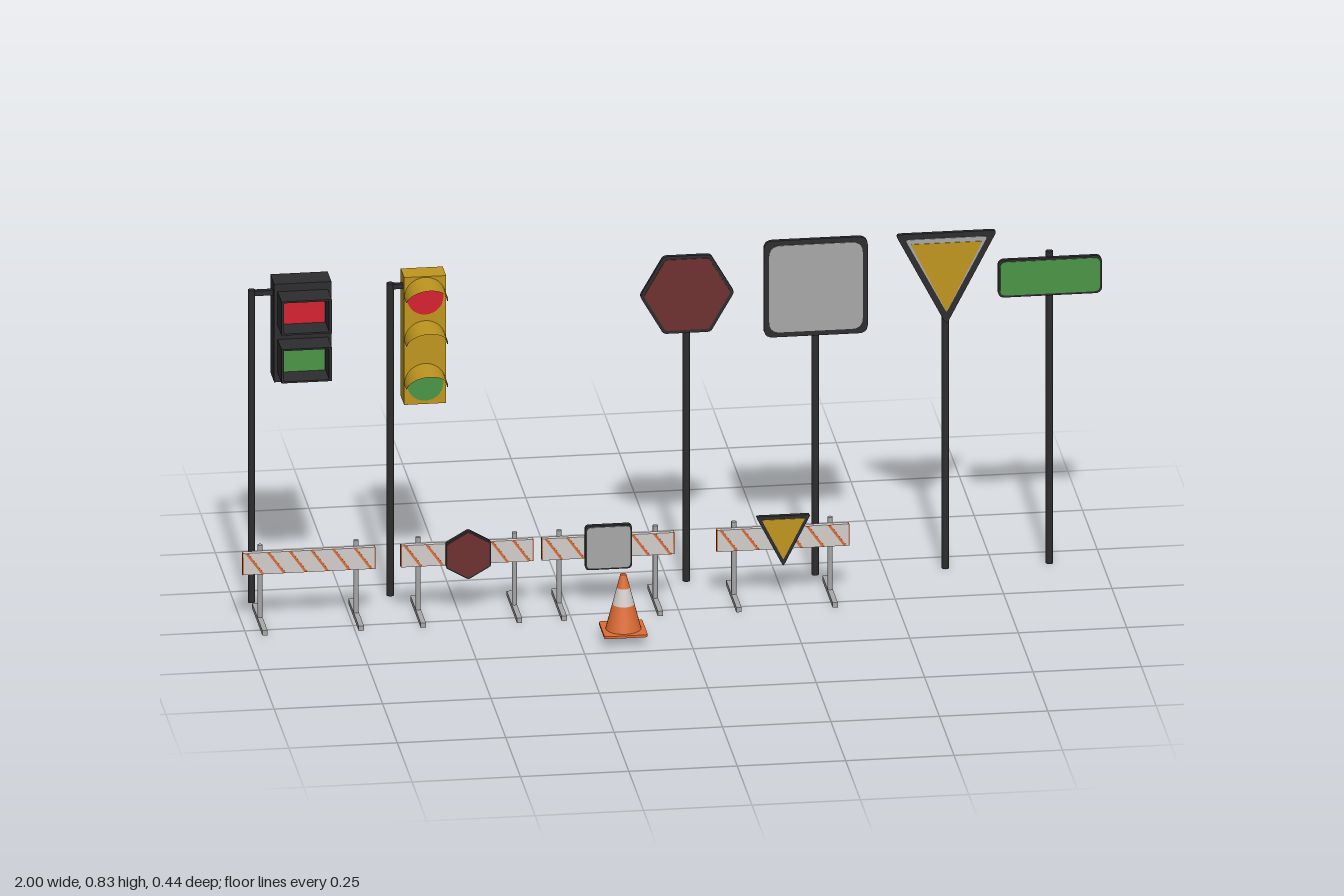
import * as THREE from 'three';

const mat = (name, color, side = THREE.FrontSide) => {
  const m = new THREE.MeshStandardMaterial({ color, side });
  m.name = name;
  return m;
};
const black = mat('black', 0x2d2d2f);
const grey = mat('grey', 0xa8a8a8);
const white = mat('white', 0xd2cdcb);
const orange = mat('orange', 0xdd6c35, THREE.DoubleSide);
const yellow = mat('yellow', 0xbf961f, THREE.DoubleSide);
const red = mat('red', 0xd4212f);
const darkRed = mat('darkRed', 0x6e2f30);
const green = mat('green', 0x4a9545);

const POLE_Z = -0.18;

function add(parent, name, geometry, material, x = 0, y = 0, z = 0) {
  const mesh = new THREE.Mesh(geometry, material);
  mesh.name = name;
  mesh.position.set(x, y, z);
  parent.add(mesh);
  return mesh;
}
function group(parent, name, x = 0, y = 0, z = 0) {
  const g = new THREE.Group();
  g.name = name;
  g.position.set(x, y, z);
  parent.add(g);
  return g;
}
const box = (w, h, d) => new THREE.BoxGeometry(w, h, d);

// Polygon outline with softened corners
function outline(points, r) {
  const pts = points.map(([x, y]) => new THREE.Vector2(x, y));
  const s = new THREE.Shape();
  pts.forEach((p, i) => {
    const prev = pts[(i + pts.length - 1) % pts.length];
    const next = pts[(i + 1) % pts.length];
    const a = p.clone().add(prev.clone().sub(p).setLength(r));
    const b = p.clone().add(next.clone().sub(p).setLength(r));
    if (i) s.lineTo(a.x, a.y); else s.moveTo(a.x, a.y);
    s.quadraticCurveTo(p.x, p.y, b.x, b.y);
  });
  s.closePath();
  return s;
}
const plate = (shape, depth) =>
  new THREE.ExtrudeGeometry(shape, { depth, bevelEnabled: false, curveSegments: 5 });

const rect = (w, h) => [[-w / 2, -h / 2], [w / 2, -h / 2], [w / 2, h / 2], [-w / 2, h / 2]];
const hexagon = (r, turn) => Array.from({ length: 6 }, (_, i) => {
  const a = turn + i * Math.PI / 3;
  return [r * Math.cos(a), r * Math.sin(a)];
});
// Point-down triangle, hung from its top edge
const triangle = (w, h, top = 0) => [[0, top - h], [w / 2, top], [-w / 2, top]];

// Black backing with stacked coloured faces
function sign(parent, name, x, y, z, depth, back, corner, faces) {
  const g = group(parent, name, x, y, z);
  add(g, 'signBack', plate(outline(back, corner), depth), black);
  faces.forEach(([points, r, material], i) =>
    add(g, 'signFace', plate(outline(points, r), 0.0015), material, 0, 0, depth + i * 0.0015));
  return g;
}

function pole(parent, x) {
  add(parent, 'pole', new THREE.CylinderGeometry(0.0085, 0.0085, 0.765, 12), black, x, 0.3825, POLE_Z);
}

// Barrier: striped board on two posts with long feet
function barrier(parent, x) {
  const g = group(parent, 'barrier', x, 0, 0);
  add(g, 'board', box(0.302, 0.053, 0.012), white, 0, 0.149, -0.042);
  for (const s of [-1, 1]) {
    add(g, 'boardEnd', box(0.003, 0.053, 0.012), orange, s * 0.1515, 0.149, -0.042);
    add(g, 'post', new THREE.CylinderGeometry(0.006, 0.006, 0.18, 10), grey, s * 0.111, 0.099, -0.053);
    add(g, 'foot', box(0.012, 0.012, 0.175), grey, s * 0.111, 0.006, -0.0525);
  }
  const stripe = new THREE.Shape([[-0.022, 0.026], [-0.015, 0.026], [0.022, -0.026], [0.015, -0.026]]
    .map(([px, py]) => new THREE.Vector2(px, py)));
  for (let i = 0; i < 6; i++) {
    for (const z of [-0.036, -0.049])
      add(g, 'stripe', plate(stripe, 0.001), orange, -0.125 + i * 0.05, 0.149, z);
  }
}

// Half-tunnel hood with a slanted mouth
function hoodGeometry(r) {
  const g = new THREE.PlaneGeometry(1, 1, 20, 1);
  const p = g.attributes.position;
  for (let i = 0; i < p.count; i++) {
    const a = (p.getX(i) + 0.5) * Math.PI;
    const length = 0.035 + 0.05 * Math.sin(a);
    p.setXYZ(i, -r * Math.cos(a), r * Math.sin(a), (0.5 - p.getY(i)) * length);
  }
  g.computeVertexNormals();
  return g;
}

function trafficLight(parent) {
  const g = group(parent, 'trafficLight', -0.563, 0, 0);
  add(g, 'housing', box(0.097, 0.312, 0.058), yellow, 0, 0.63, -0.184);
  [[0.736, red], [0.63, yellow], [0.525, green]].forEach(([y, material]) => {
    const lamp = add(g, 'lamp', new THREE.CylinderGeometry(0.042, 0.042, 0.004, 28), material, 0, y, -0.154);
    lamp.rotation.x = Math.PI / 2;
    add(g, 'hood', hoodGeometry(0.048), yellow, 0, y, -0.155);
    add(g, 'hoodInside', hoodGeometry(0.0468), yellow, 0, y, -0.155);
  });
  add(g, 'bracket', box(0.04, 0.012, 0.012), black, -0.062, 0.757, POLE_Z);
}

function crossingLight(parent) {
  const g = group(parent, 'crossingLight', -0.845, 0, 0);
  add(g, 'housing', box(0.132, 0.24, 0.065), black, 0, 0.665, -0.1875);
  [[0.725, red], [0.608, green]].forEach(([y, material]) => {
    add(g, 'lamp', box(0.098, 0.076, 0.004), material, 0, y, -0.154);
    for (const s of [-1, 1]) {
      add(g, 'hoodSide', box(0.006, 0.083, 0.065), black, s * 0.055, y, -0.1225);
      add(g, 'hoodEdge', box(0.104, 0.004, 0.065), black, 0, y + s * 0.0395, -0.1225);
    }
  });
  add(g, 'bracket', box(0.055, 0.012, 0.012), black, -0.09, 0.757, POLE_Z);
}

// Hollow cone with a white band on a square base
function cone(parent) {
  const g = group(parent, 'trafficCone', -0.15, 0, 0.17);
  const base = outline(rect(0.1, 0.1), 0.008);
  base.holes.push(new THREE.Path().absarc(0, 0, 0.039, 0, Math.PI * 2, true));
  add(g, 'coneBase', plate(base, 0.006), orange, 0, 0.022, 0).rotation.x = -Math.PI / 2;
  const bands = [[0.027, 0.088, orange], [0.088, 0.128, white], [0.128, 0.16, orange]];
  const radius = (y) => 0.041 - (y - 0.027) * 0.256;
  for (const [y0, y1, material] of bands)
    add(g, 'coneBand', new THREE.CylinderGeometry(radius(y1), radius(y0), y1 - y0, 28, 1, true),
      material, 0, (y0 + y1) / 2, 0);
  add(g, 'coneTip', new THREE.CircleGeometry(radius(0.16), 20), orange, 0, 0.16, 0).rotation.x = -Math.PI / 2;
}

export function createModel() {
  const model = new THREE.Group();
  model.name = 'roadSigns';

  [-0.96, -0.64, 0.043, 0.34, 0.64, 0.88].forEach((x) => pole(model, x));
  crossingLight(model);
  trafficLight(model);

  // Tall signs
  const z = -0.178;
  sign(model, 'hexagonSign', 0.043, 0.706, z, 0.01, hexagon(0.109, 0), 0.008,
    [[hexagon(0.1, 0), 0.006, darkRed]]);
  sign(model, 'squareSign', 0.34, 0.708, z, 0.01, rect(0.24, 0.236), 0.022,
    [[rect(0.216, 0.212), 0.026, grey]]);
  sign(model, 'triangleSign', 0.641, 0.826, z, 0.01, triangle(0.235, 0.226), 0.012,
    [[triangle(0.19, 0.182, -0.013), 0.008, grey], [triangle(0.165, 0.17, -0.024), 0.004, yellow]]);
  sign(model, 'nameSign', 0.88, 0.706, z, 0.01, rect(0.24, 0.092), 0.016,
    [[rect(0.23, 0.082), 0.014, green]]);

  // Barriers and the small signs fixed to them
  [-0.847, -0.482, -0.157, 0.246].forEach((x) => barrier(model, x));
  const bz = -0.04;
  sign(model, 'barrierHexagon', -0.48, 0.148, bz, 0.011, hexagon(0.06, Math.PI / 6), 0.005,
    [[hexagon(0.056, Math.PI / 6), 0.004, darkRed]]);
  sign(model, 'barrierSquare', -0.157, 0.15, bz, 0.011, rect(0.108, 0.108), 0.01,
    [[rect(0.1, 0.1), 0.01, grey]]);
  sign(model, 'barrierTriangle', 0.246, 0.206, bz, 0.011, triangle(0.126, 0.124), 0.006,
    [[triangle(0.1, 0.099, -0.008), 0.004, yellow]]);

  cone(model);
  return model;
}
